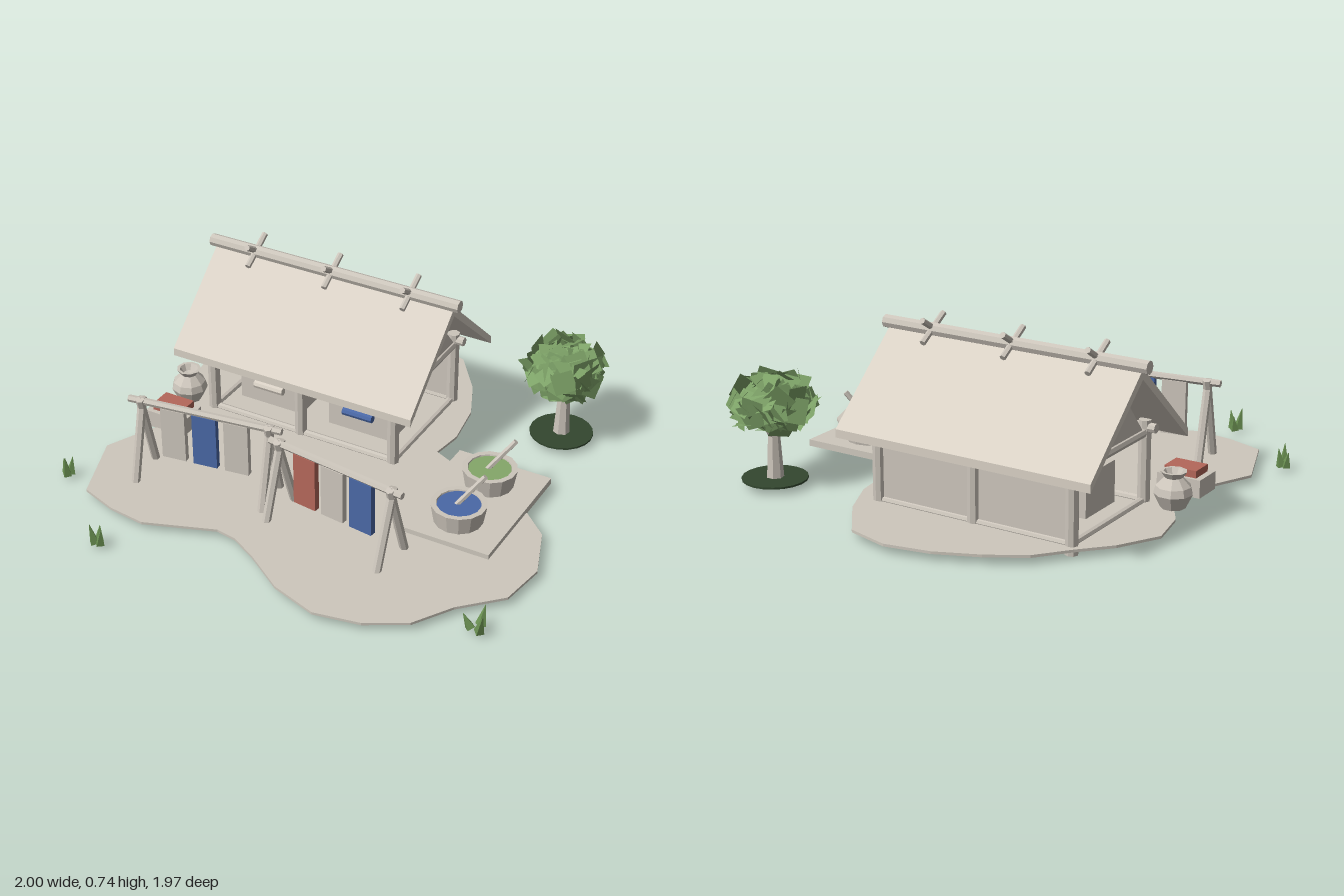
import * as THREE from 'three';
import { mergeGeometries } from 'three/addons/utils/BufferGeometryUtils.js';

const mat = (name, color, extra = {}) =>
  Object.assign(new THREE.MeshStandardMaterial({ color, flatShading: true, ...extra }), { name });

export function createModel() {
  const model = new THREE.Group();
  model.name = 'dyeWorkshop';
  const thatch = mat('thatch', 0xd9d1c5);
  const earth = mat('earth', 0xcec8bd);
  const wood = mat('wood', 0xccc5bb);
  const blue = mat('indigo', 0x4a68a6);
  const red = mat('madderRed', 0xb4675a);
  const dye = mat('greenDye', 0x84a769);
  const leaf = mat('leaf', 0x7ea368, { side: THREE.DoubleSide });
  const grass = mat('grass', 0x6b9152);
  const shade = mat('darkMoss', 0x33472f);

  const add = (name, geometry, material, parent = model) => {
    const mesh = new THREE.Mesh(geometry, material);
    mesh.name = name;
    parent.add(mesh);
    return mesh;
  };
  const box = (name, m, x0, x1, y0, y1, z0, z1) =>
    add(name, new THREE.BoxGeometry(x1 - x0, y1 - y0, z1 - z0)
      .translate((x0 + x1) / 2, (y0 + y1) / 2, (z0 + z1) / 2), m);
  const up = new THREE.Vector3(0, 1, 0);
  // Round pole between two points
  const pole = (name, a, b, r, m = wood, sides = 8, rEnd = r) => {
    const p = new THREE.Vector3(...a), q = new THREE.Vector3(...b);
    const mesh = add(name, new THREE.CylinderGeometry(rEnd, r, p.distanceTo(q), sides), m);
    mesh.position.copy(p).lerp(q, 0.5);
    mesh.quaternion.setFromUnitVectors(up, q.sub(p).normalize());
    return mesh;
  };
  const shapeOf = pts => new THREE.Shape(pts.map(p => new THREE.Vector2(...p)));
  let seed = 11;
  const rand = () => (seed = (seed * 16807) % 2147483647) / 2147483647;

  // Ground: irregular thin plate, outline in x and z
  const outline = [
    [-0.11, -0.99], [0.07, -0.94], [0.21, -0.75], [0.29, -0.57], [0.32, -0.37], [0.3, -0.23],
    [0.39, -0.19], [0.6, -0.12], [0.81, -0.02], [0.92, 0.08], [1, 0.3], [0.97, 0.5], [0.82, 0.65],
    [0.72, 0.81], [0.56, 0.9], [0.37, 0.935], [0.17, 0.87], [0, 0.755], [-0.12, 0.69],
    [-0.21, 0.675], [-0.5, 0.78], [-0.66, 0.76], [-0.82, 0.705], [-0.93, 0.405], [-0.85, 0.23],
    [-0.79, 0.13], [-0.78, 0.03], [-0.84, -0.09], [-0.9, -0.19], [-0.935, -0.37], [-0.84, -0.54],
    [-0.73, -0.66], [-0.625, -0.79], [-0.475, -0.88], [-0.3, -0.955],
  ];
  add('ground', new THREE.ExtrudeGeometry(shapeOf(outline), { depth: 0.011, bevelEnabled: false })
    .rotateX(Math.PI / 2).translate(0, 0.042, 0), earth);

  // Hut frame
  const bays = [-0.7, -0.27, 0.17], zFront = -0.08, zBack = -0.625;
  for (const z of [zFront, zBack]) {
    for (const x of bays) pole('post', [x, 0.005, z], [x, 0.375, z], 0.026);
    pole('eaveBeam', [-0.75, 0.345, z], [0.22, 0.345, z], 0.02);
  }
  for (const x of [bays[0], bays[2]]) {
    pole('tieBeam', [x, 0.325, zFront + 0.03], [x, 0.325, zBack - 0.03], 0.02);
    pole('endSill', [x, 0.045, zFront], [x, 0.045, zBack], 0.016);
  }
  pole('backSill', [-0.7, 0.045, zBack], [0.17, 0.045, zBack], 0.016);
  pole('frontSill', [-0.7, 0.045, zFront], [0.17, 0.045, zFront], 0.016);
  box('backWall', wood, -0.7, 0.17, 0.045, 0.305, -0.63, -0.615);

  // Gable ends and roof, cross-sections run along x
  const zMid = -0.36;
  const alongX = (pts, x0, x1) =>
    new THREE.ExtrudeGeometry(shapeOf(pts), { depth: x1 - x0, bevelEnabled: false })
      .rotateY(Math.PI / 2).translate(x0, 0, zMid);
  for (const x of [bays[0], bays[2]])
    add('gable', alongX([[-0.25, 0.335], [0.25, 0.335], [0, 0.63]], x - 0.008, x + 0.008), wood);
  add('roof', alongX([[-0.373, 0.304], [0, 0.63], [0.373, 0.304], [0.373, 0.338], [0, 0.672],
    [-0.373, 0.338]], -0.838, 0.295), thatch);
  pole('ridgePole', [-0.865, 0.68, zMid], [0.32, 0.68, zMid], 0.027);
  for (const x of [-0.645, -0.275, 0.093])
    for (const s of [-1, 1])
      pole('ridgeStick', [x, 0.64, zMid - 0.073 * s], [x, 0.73, zMid + 0.073 * s], 0.013, wood, 6);

  // Work tables with rolled cloth in each bay
  for (const [x, m] of [[-0.48, thatch], [-0.045, blue]]) {
    box('workTable', wood, x - 0.15, x + 0.15, 0.055, 0.228, -0.405, -0.185);
    pole('clothRoll', [x - 0.07, 0.15, -0.17], [x + 0.07, 0.15, -0.17], 0.018, m);
  }

  // Vat platform
  box('vatPlatform', earth, 0.39, 0.805, 0.035, 0.063, -0.26, 0.328);
  for (const [z, m] of [[-0.105, dye], [0.175, blue]]) {
    const wall = [[0, 0.063], [0.1, 0.063], [0.114, 0.143], [0.091, 0.143], [0.086, 0.118]];
    add('vat', new THREE.LatheGeometry(wall.map(p => new THREE.Vector2(...p)), 14)
      .translate(0.6, 0, z), wood);
    add('dyeLiquid', new THREE.CircleGeometry(0.09, 14).rotateX(-Math.PI / 2)
      .translate(0.6, 0.137, z), m);
    pole('stirringStick', [0.585, 0.125, z], [0.685, 0.265, z - 0.052], 0.012, wood, 6);
  }

  // Crate of red cloth and clay jar
  box('crate', wood, -0.875, -0.685, 0.04, 0.115, 0.055, 0.19);
  box('foldedCloth', red, -0.85, -0.71, 0.115, 0.145, 0.07, 0.17);
  const jar = [[0, 0.042], [0.05, 0.042], [0.078, 0.1], [0.07, 0.13], [0.036, 0.165],
    [0.053, 0.19], [0.04, 0.19], [0.025, 0.165], [0, 0.16]];
  add('jar', new THREE.LatheGeometry(jar.map(p => new THREE.Vector2(...p)), 9)
    .translate(-0.83, 0, -0.08), wood);

  // Drying racks: A-frames, bar, hanging cloths
  const rack = (a, b, y, legs, cloths) => {
    const slope = (b[1] - a[1]) / (b[0] - a[0]);
    const zAt = x => a[1] + slope * (x - a[0]);
    const angle = -Math.atan(slope);
    pole('rackBar', [a[0], y, a[1]], [b[0], y, b[1]], 0.015, wood, 6);
    for (const x of legs)
      for (const s of [-1, 1]) {
        const dx = -slope * s, z = zAt(x);
        pole('rackLeg', [x + dx * 0.1, 0.008, z + s * 0.1],
          [x - dx * 0.012, y + 0.012, z - s * 0.012], 0.018, wood, 6);
      }
    for (const [x, m] of cloths) {
      const cloth = add('hangingCloth', new THREE.BoxGeometry(0.105, 0.23, 0.026), m);
      cloth.position.set(x, y - 0.125, zAt(x));
      cloth.rotation.y = angle;
    }
  };
  rack([-0.745, 0.475], [-0.08, 0.385], 0.378, [-0.69, -0.135],
    [[-0.55, wood], [-0.413, blue], [-0.275, wood]]);
  rack([-0.105, 0.435], [0.525, 0.515], 0.363, [-0.06, 0.475],
    [[0.07, red], [0.203, wood], [0.338, blue]]);

  // Tree: moss disc, trunk, branches, leaf cards over a rounded crown
  const tx = 0.685, tz = -0.635;
  add('mossDisc', new THREE.CylinderGeometry(0.135, 0.135, 0.008, 20).translate(tx, 0.034, tz), shade);
  pole('trunk', [tx, 0.008, tz], [tx, 0.24, tz], 0.038, wood, 7, 0.024);
  for (const [dx, dz] of [[-0.08, 0.03], [0.08, 0.02], [0, -0.08]])
    pole('branch', [tx, 0.2, tz], [tx + dx, 0.32, tz + dz], 0.016, wood, 5, 0.008);
  const cards = [];
  const crownSize = new THREE.Vector3(0.145, 0.105, 0.16), count = 120;
  for (let i = 0; i < count; i++) {
    const v = 1 - 2 * (i + 0.5) / count, r = Math.sqrt(1 - v * v), t = i * 2.39996;
    const dir = new THREE.Vector3(r * Math.cos(t), v, r * Math.sin(t));
    const facing = dir.clone().add(
      new THREE.Vector3(rand() - 0.5, rand() - 0.5, rand() - 0.5).multiplyScalar(1.3)).normalize();
    const q = new THREE.Quaternion().setFromUnitVectors(new THREE.Vector3(0, 0, 1), facing);
    const at = dir.multiply(crownSize).multiplyScalar(0.75 + 0.3 * rand());
    const size = 0.07 + 0.035 * rand();
    cards.push(new THREE.PlaneGeometry(size, size).rotateZ(rand() * 3).applyQuaternion(q)
      .translate(tx + at.x, 0.35 + at.y, tz + at.z));
  }
  add('foliage', mergeGeometries(cards), leaf);

  // Grass tufts
  for (const [x, z, spread] of [[-0.97, 0.625, 0.018], [-0.59, 0.95, 0.022], [0.935, 0.695, 0.04]])
    for (let i = 0; i < 3; i++) {
      const a = i * 2.1 + x * 3, c = Math.cos(a) * spread, s = Math.sin(a) * spread;
      pole('grassBlade', [x + c * 0.6, 0.022, z + s * 0.6],
        [x + c * 1.3, 0.085 + 0.014 * i, z + s * 1.3], 0.022, grass, 4, 0.001);
    }
  return model;
}
